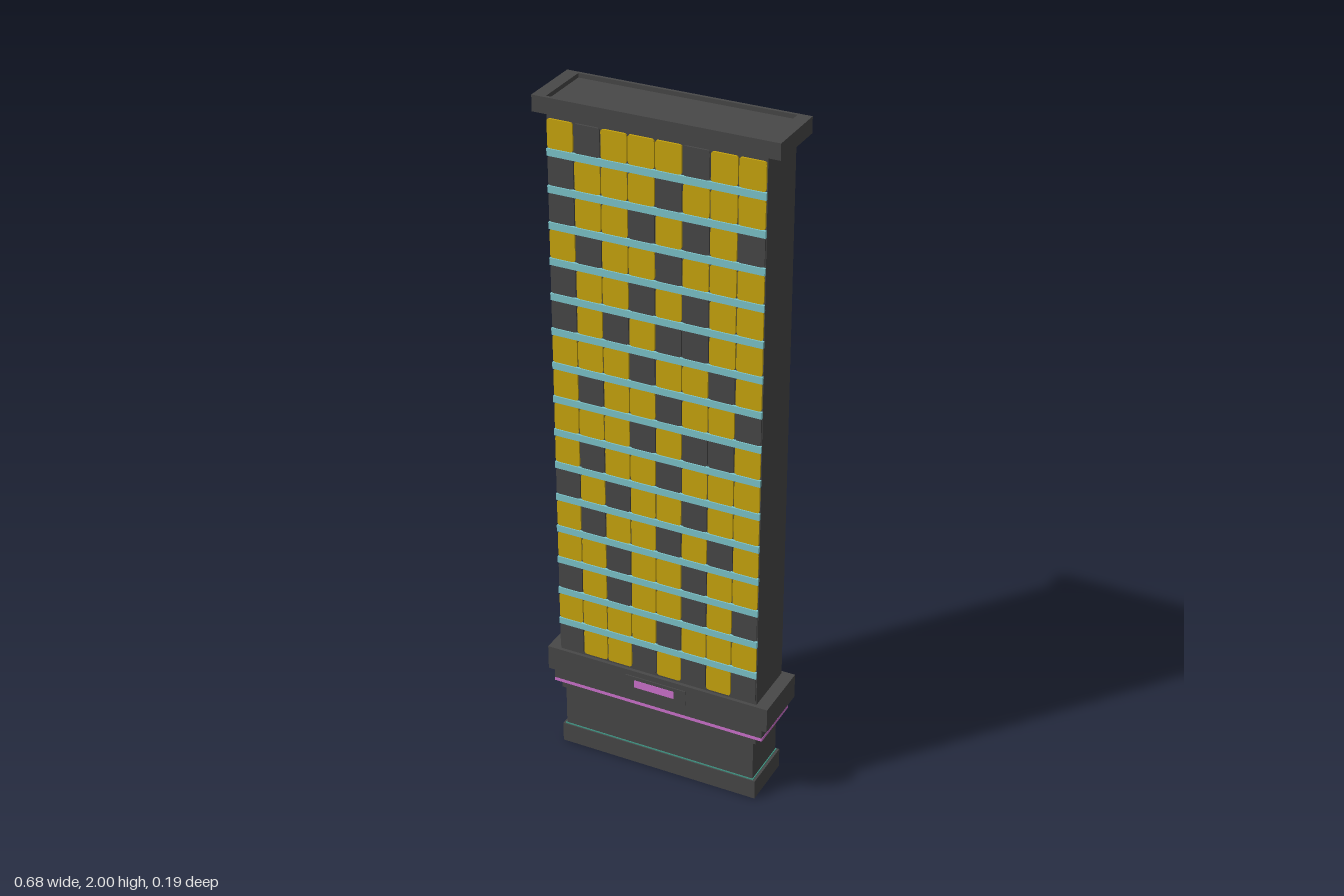
import * as THREE from 'three';

const mat = (name, color) => {
  const m = new THREE.MeshStandardMaterial({ color });
  m.name = name;
  return m;
};

export function createModel() {
  const group = new THREE.Group();
  group.name = 'towerBlock';
  const charcoal = mat('charcoal', 0x484848);
  const yellow = mat('litYellow', 0xcaa60e);
  const cyan = mat('paleCyan', 0x7cc6cc);
  const pink = mat('neonPink', 0xcf72cf);
  const teal = mat('teal', 0x3f9080);

  const add = (name, geometry, material, parent = group) => {
    const mesh = new THREE.Mesh(geometry, material);
    mesh.name = name;
    parent.add(mesh);
    return mesh;
  };
  // Box given by its limits on each axis
  const box = (name, material, x0, x1, y0, y1, z0, z1, parent) => {
    const mesh = add(name, new THREE.BoxGeometry(x1 - x0, y1 - y0, z1 - z0), material, parent);
    mesh.position.set((x0 + x1) / 2, (y0 + y1) / 2, (z0 + z1) / 2);
    return mesh;
  };
  // Box centred on x
  const slab = (name, material, halfX, y0, y1, z0, z1) =>
    box(name, material, -halfX, halfX, y0, y1, z0, z1);

  // Stepped base
  slab('plinth', charcoal, 0.305, 0, 0.06, -0.087, 0.08);
  slab('plinthTrim', teal, 0.298, 0.06, 0.063, -0.083, 0.077);
  slab('baseWall', charcoal, 0.295, 0.06, 0.19, -0.08, 0.074);
  slab('baseCollar', charcoal, 0.305, 0.19, 0.21, -0.087, 0.08);
  slab('neonStrip', pink, 0.326, 0.21, 0.22, -0.0925, 0.0855);
  slab('lowerCornice', charcoal, 0.325, 0.22, 0.25, -0.092, 0.085);
  slab('upperCornice', charcoal, 0.342, 0.25, 0.325, -0.097, 0.09);

  // Main shaft
  slab('shaft', charcoal, 0.305, 0.325, 1.957, -0.087, 0.08);

  // Roof cap: a rectangular rim around a shallow recess
  const rect = (Type, x0, x1, y0, y1) => {
    const s = new Type();
    s.moveTo(x0, y0);
    s.lineTo(x1, y0);
    s.lineTo(x1, y1);
    s.lineTo(x0, y1);
    s.closePath();
    return s;
  };
  slab('roofSlab', charcoal, 0.342, 1.955, 1.988, -0.097, 0.09);
  const rimShape = rect(THREE.Shape, -0.342, 0.342, -0.09, 0.097);
  rimShape.holes.push(rect(THREE.Path, -0.305, 0.305, -0.08, 0.088));
  const rimGeometry = new THREE.ExtrudeGeometry(rimShape, { depth: 0.012, bevelEnabled: false });
  rimGeometry.rotateX(-Math.PI / 2);
  add('roofRim', rimGeometry, charcoal).position.y = 1.988;

  // Window panel with rounded corners
  const w = 0.0365, h = 0.04, r = 0.008;
  const pane = new THREE.Shape();
  pane.moveTo(-w + r, -h);
  pane.lineTo(w - r, -h);
  pane.quadraticCurveTo(w, -h, w, -h + r);
  pane.lineTo(w, h - r);
  pane.quadraticCurveTo(w, h, w - r, h);
  pane.lineTo(-w + r, h);
  pane.quadraticCurveTo(-w, h, -w, h - r);
  pane.lineTo(-w, -h + r);
  pane.quadraticCurveTo(-w, -h, -w + r, -h);
  const paneGeometry = new THREE.ExtrudeGeometry(pane, {
    depth: 0.005, bevelEnabled: false, curveSegments: 3,
  });

  // Floors from the top down: 1 is a lit window, 0 an unlit one
  const floors = [
    '10111011', '01110111', '01101010', '10110111',
    '01101011', '01010011', '11101101', '10110110',
    '11101001', '10110111', '01011011', '10110101',
    '11011011', '01011010', '11110111', '01101010',
  ];
  const pitch = 0.1019, column = 0.0762;
  const windows = new THREE.Group();
  windows.name = 'windows';
  group.add(windows);
  floors.forEach((floor, i) => {
    const y = 1.902 - i * pitch;
    [...floor].forEach((lit, j) => {
      const on = lit === '1';
      const mesh = add(on ? 'litWindow' : 'darkWindow', paneGeometry, on ? yellow : charcoal, windows);
      mesh.position.set((j - 3.5) * column, y, 0.08);
    });
    // Pale band between floors
    if (i < floors.length - 1) {
      const bandY = y - pitch / 2;
      box('floorBand', cyan, -0.305, 0.305, bandY - 0.01, bandY + 0.01, 0.079, 0.087, windows);
    }
  });

  // Sign over the entrance
  box('entranceSignBoard', charcoal, -0.094, 0.094, 0.262, 0.308, 0.089, 0.093);
  box('entranceSignGlow', pink, -0.066, 0.058, 0.273, 0.297, 0.092, 0.094);

  // Tall glowing panel on the right side
  box('sidePanelFrame', charcoal, -0.308, -0.304, 0.9, 1.37, -0.06, 0.064);
  box('sidePanelGlow', pink, -0.31, -0.307, 0.907, 1.363, -0.055, 0.059);

  return group;
}
